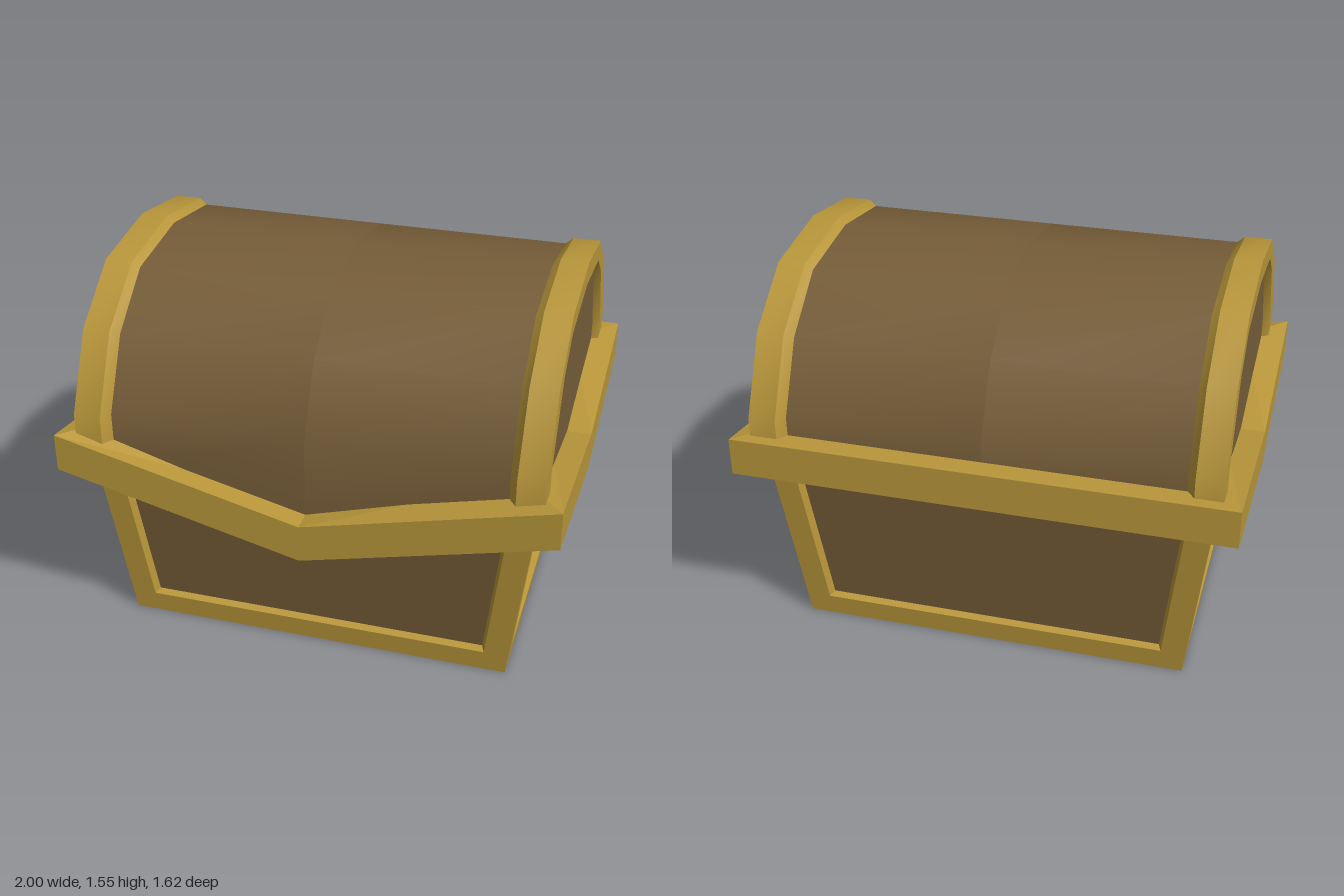
import * as THREE from 'three';

const gold = new THREE.MeshStandardMaterial({ color: 0xb8963a });
gold.name = 'gold trim';
const wood = new THREE.MeshStandardMaterial({ color: 0x765d38 });
wood.name = 'brown wood';

function mesh(name, geometry, material) {
  const m = new THREE.Mesh(geometry, material);
  m.name = name;
  return m;
}

// Flat shaded geometry from four-cornered faces, corners counter-clockwise
function quads(list) {
  const pos = [];
  for (const [a, b, c, d] of list) pos.push(...a, ...b, ...c, ...a, ...c, ...d);
  const g = new THREE.BufferGeometry();
  g.setAttribute('position', new THREE.Float32BufferAttribute(pos, 3));
  g.computeVertexNormals();
  return g;
}

// Surface between two rows of points, smooth along the rows
function strip(a, b) {
  const pos = [], index = [];
  a.forEach((p, i) => {
    pos.push(...p, ...b[i]);
    if (i) {
      const k = 2 * i - 2;
      index.push(k, k + 1, k + 3, k, k + 3, k + 2);
    }
  });
  const g = new THREE.BufferGeometry();
  g.setAttribute('position', new THREE.Float32BufferAttribute(pos, 3));
  g.setIndex(index);
  g.computeVertexNormals();
  return g;
}

// Lid profiles as [z, y], from the front edge to the crown
const LOW = 0.78;
const OUTER = [[0.76, LOW], [0.76, 1.0], [0.61, 1.305], [0.365, 1.495], [0, 1.55]];
const INNER = [[0.665, LOW], [0.665, 1.0], [0.5, 1.305], [0.352, 1.415], [0, 1.46]];
const DEEP = [[0.645, LOW], [0.645, 1.0], [0.485, 1.295], [0.345, 1.4], [0, 1.445]];
const BARREL = [[0.72, LOW], [0.72, 1.0], [0.58, 1.285], [0.355, 1.472], [0, 1.523]];

// Full front-to-back arc at a given x
function arc(half, x) {
  const back = half.slice(0, -1).reverse().map(([z, y]) => [-z, y]);
  return [...half, ...back].map(([z, y]) => [x, y, z]);
}

// One tapered wall: recessed panel with trim on the sides and bottom
function wall(name, hw, hwSlope, d, dSlope, trim, angle) {
  const g = new THREE.Group();
  g.name = name;
  const top = 0.85;
  const p = (side, y, inset, depth) =>
    [side * (hw + hwSlope * y - inset), y, d + dSlope * y - depth];
  // Corners: bottom left, bottom right, top right, top left
  const loop = (inset, y, depth) => [
    p(-1, y, inset, depth), p(1, y, inset, depth),
    p(1, top, inset, depth), p(-1, top, inset, depth)];
  const o = loop(0, 0, 0);
  const n = loop(trim, 0.09, 0);
  const r = loop(trim + 0.014, 0.1, 0.03);
  const ring = (a, b) => [
    [a[0], a[1], b[1], b[0]], [a[1], a[2], b[2], b[1]], [a[3], a[0], b[0], b[3]]];
  g.add(mesh('wallTrim', quads([...ring(o, n), ...ring(n, r)]), gold));
  g.add(mesh('wallPanel', quads([r]), wood));
  g.rotation.y = angle;
  return g;
}

function createBase() {
  const g = new THREE.Group();
  g.name = 'base';
  for (const [i, side] of ['front', 'left', 'back', 'right'].entries()) {
    const angle = i * Math.PI / 2;
    g.add(i % 2
      ? wall(side + 'Wall', 0.62, 0.097, 0.8, 0.123, 0.085, angle)
      : wall(side + 'Wall', 0.8, 0.123, 0.62, 0.097, 0.1, angle));
  }
  g.add(mesh('bottom', quads([
    [[-0.8, 0, -0.62], [0.8, 0, -0.62], [0.8, 0, 0.62], [-0.8, 0, 0.62]]]), wood));
  return g;
}

// Band around the rim, dipping at the front and side centres
function createBand() {
  const path = [[-1, 1, 0.845], [0, 1, 0.6], [1, 1, 0.845], [1, 0, 0.72],
    [1, -1, 0.845], [-1, -1, 0.845], [-1, 0, 0.72]];
  const h = 0.078;
  const rows = path.map(([x, z, y]) => [
    [x, y - h, z * 0.81], [x, y + h, z * 0.81],
    [x * 0.82, y + h, z * 0.63], [x * 0.82, y - h + 0.01, z * 0.63]]);
  const faces = [];
  rows.forEach((a, i) => {
    const b = rows[(i + 1) % rows.length];
    for (let k = 0; k < 4; k++) {
      const m = (k + 1) % 4;
      faces.push([a[k], b[k], b[m], a[m]]);
    }
  });
  return mesh('rimBand', quads(faces), gold);
}

function createLid() {
  const g = new THREE.Group();
  g.name = 'lid';

  // Barrel in two halves, its front edge dipping with the band
  const middle = arc(BARREL, 0);
  middle[0][1] = 0.6;
  g.add(mesh('lidBarrelRight', strip(arc(BARREL, -0.79), middle), wood));
  g.add(mesh('lidBarrelLeft', strip(middle, arc(BARREL, 0.79)), wood));

  // Arched end trims with chamfered edges and recessed end panels
  for (const s of [1, -1]) {
    const end = new THREE.Group();
    end.name = s > 0 ? 'leftLidEnd' : 'rightLidEnd';
    const between = (a, b) => (s > 0 ? strip(a, b) : strip(b, a));
    const rows = [arc(BARREL, s * 0.79), arc(OUTER, s * 0.82), arc(OUTER, s * 0.93),
      arc(INNER, s * 0.93), arc(DEEP, s * 0.9)];
    for (let i = 0; i < 4; i++) end.add(mesh('archTrim', between(rows[i], rows[i + 1]), gold));
    const centre = rows[4].map(() => [s * 0.9, LOW, 0]);
    end.add(mesh('endPanel', between(rows[4], centre), wood));
    g.add(end);
  }
  return g;
}

export function createModel() {
  const chest = new THREE.Group();
  chest.name = 'chest';
  chest.add(createBase(), createBand(), createLid());
  return chest;
}
